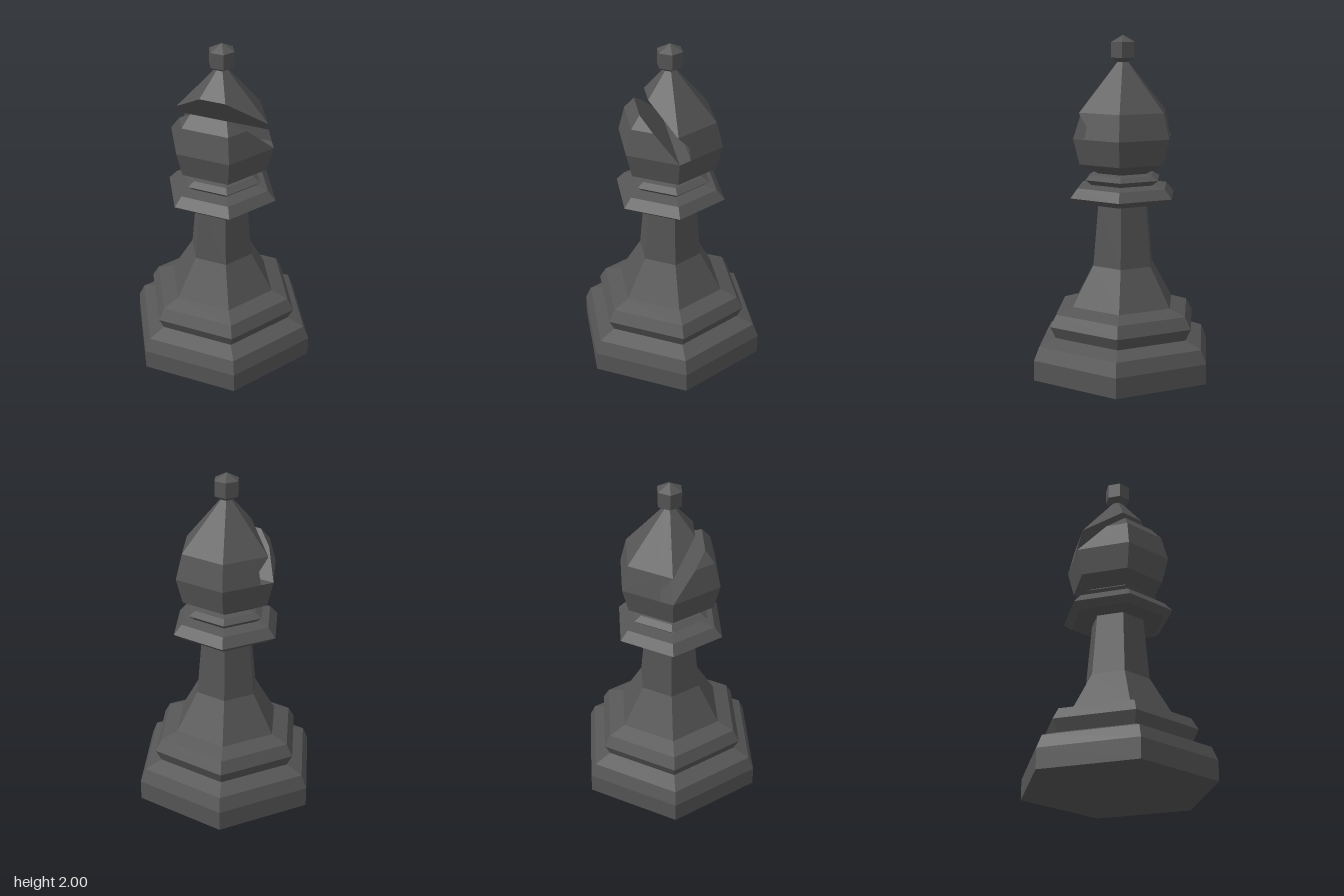
import * as THREE from 'three';

const SIDES = 6;
const material = new THREE.MeshStandardMaterial({ color: 0x555555, flatShading: true });

// Six-sided turned part with corners on the x axis, from [radius, y] pairs going up
function turned(name, profile) {
  const points = profile.map(([r, y]) => new THREE.Vector2(r, y));
  const mesh = new THREE.Mesh(new THREE.LatheGeometry(points, SIDES, Math.PI / 2), material);
  mesh.name = name;
  return mesh;
}

// Part of a convex polygon on the positive (sign 1) or negative (sign -1) side of a plane
function clip(polygon, plane, sign) {
  const out = [];
  polygon.forEach((a, i) => {
    const b = polygon[(i + 1) % polygon.length];
    const da = sign * plane.distanceToPoint(a);
    const db = sign * plane.distanceToPoint(b);
    if (da >= 0) out.push(a);
    if (da * db < 0) out.push(a.clone().lerp(b, da / (da - db)));
  });
  return out;
}

// Convex six-sided head with a slot cut straight through along x
function slottedHead(name, profile, slot) {
  const corner = ([r, y], k) => {
    const angle = Math.PI / 2 + (k / SIDES) * Math.PI * 2;
    return new THREE.Vector3(r * Math.sin(angle), y, r * Math.cos(angle));
  };
  const faces = [];
  for (let j = 0; j < profile.length - 1; j++) {
    for (let k = 0; k < SIDES; k++) {
      faces.push([corner(profile[j], k), corner(profile[j], k + 1),
        corner(profile[j + 1], k + 1), corner(profile[j + 1], k)]);
    }
  }
  const planeOf = (f) => new THREE.Plane().setFromCoplanarPoints(f[0], f[1], f[2]);
  const facePlanes = faces.map(planeOf);

  // Slot walls face into the gap
  const walls = slot.slice(0, -1).map(([z0, y0], i) => {
    const [z1, y1] = slot[i + 1];
    return [[-1, y0, z0], [1, y0, z0], [1, y1, z1], [-1, y1, z1]].map((p) => new THREE.Vector3(...p));
  });
  const wallPlanes = walls.map(planeOf);

  const polygons = [];
  // Outer skin: keep what lies outside the slot
  for (const face of faces) {
    let rest = face;
    for (const plane of wallPlanes) {
      polygons.push(clip(rest, plane, -1));
      rest = clip(rest, plane, 1);
    }
  }
  // Slot walls: trim to the inside of the skin
  for (const wall of walls) {
    polygons.push(facePlanes.reduce((poly, plane) => clip(poly, plane, -1), wall));
  }

  const triangles = [];
  for (const p of polygons) {
    for (let i = 1; i < p.length - 1; i++) triangles.push(p[0], p[i], p[i + 1]);
  }
  const geometry = new THREE.BufferGeometry().setFromPoints(triangles);
  geometry.computeVertexNormals();
  const mesh = new THREE.Mesh(geometry, material);
  mesh.name = name;
  return mesh;
}

export function createModel() {
  const group = new THREE.Group();
  group.name = 'chessBishop';

  group.add(
    // Stepped foot
    turned('base', [[0, 0], [0.58, 0], [0.58, 0.12], [0.545, 0.2], [0.44, 0.24], [0, 0.24]]),
    turned('baseRing', [[0.44, 0.24], [0.475, 0.31], [0.435, 0.38], [0.33, 0.415]]),
    // Tapered shaft
    turned('stem', [[0.33, 0.415], [0.195, 0.65], [0.16, 1.03]]),
    // Two collars under the head
    turned('lowerCollar', [[0, 1.03], [0.29, 1.03], [0.34, 1.065], [0.29, 1.12], [0.205, 1.135]]),
    turned('upperCollar', [[0.205, 1.135], [0.243, 1.165], [0.2, 1.19], [0.16, 1.2], [0, 1.2]]),
    // Mitre, with the slot outline given as [z, y] from the lower lip round to the upper lip
    slottedHead('mitre',
      [[0.16, 1.2], [0.28, 1.26], [0.32, 1.41], [0.28, 1.56], [0.035, 1.845]],
      [[0.38, 1.85], [0, 1.41], [-0.07, 1.41], [-0.064, 1.485], [0.33, 1.915]]),
    // Knob on top
    turned('finial', [[0, 1.845], [0.035, 1.845], [0.076, 1.87], [0.076, 1.96], [0, 2]]),
  );
  return group;
}
